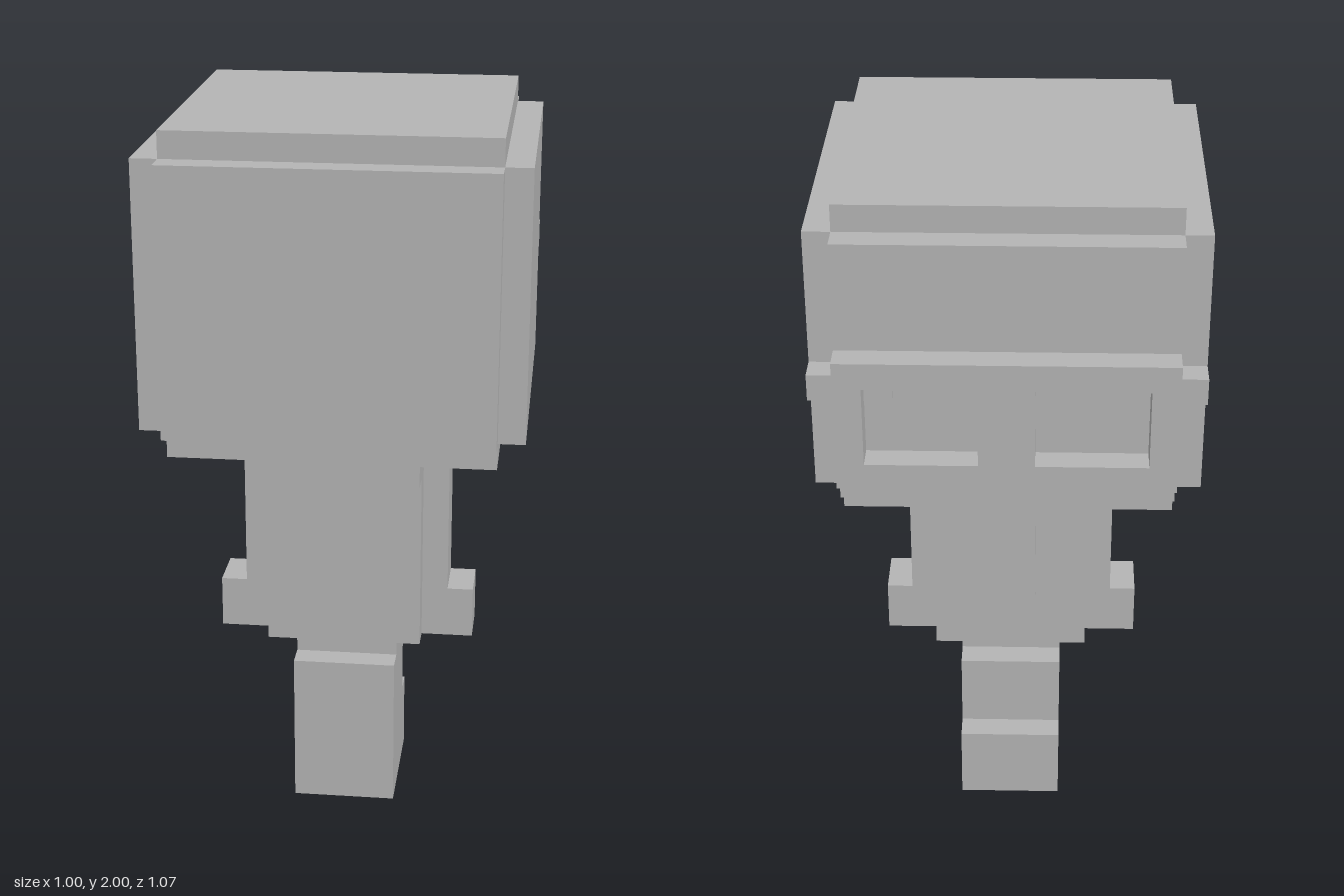
import * as THREE from 'three';

const U = 1 / 14; // edge of one cube of the block grid

export function createModel() {
  const model = new THREE.Group();
  const grey = new THREE.MeshStandardMaterial({ color: 0xb4b4b4 });
  grey.name = 'plain grey';

  // Box spanning two corners, given in grid cubes
  function block(name, [x0, x1], [y0, y1], [z0, z1], parent = model) {
    const mesh = new THREE.Mesh(new THREE.BoxGeometry((x1 - x0) * U, (y1 - y0) * U, (z1 - z0) * U), grey);
    mesh.position.set((x0 + x1) / 2 * U, (y0 + y1) / 2 * U, (z0 + z1) / 2 * U);
    mesh.name = name;
    parent.add(mesh);
    return mesh;
  }

  // Box and its mirror image across x = 0
  function pair(name, [x0, x1], y, z, parent = model) {
    block(name + 'Left', [x0, x1], y, z, parent);
    block(name + 'Right', [-x1, -x0], y, z, parent);
  }

  // Head: a core with a raised slab on each side
  const head = new THREE.Group();
  head.name = 'head';
  model.add(head);
  block('headCore', [-6, 6], [16, 28], [-5.5, 6.5], head);
  block('headFrontSlab', [-6, 6], [17, 27], [6.5, 7.5], head);
  block('headBackSlab', [-6, 6], [17, 27], [-6.5, -5.5], head);
  pair('headSideSlab', [6, 7], [17, 27], [-5.5, 6.5], head);

  // Glasses: plate with two square openings and a lower middle step
  const glasses = new THREE.Group();
  glasses.name = 'glasses';
  model.add(glasses);
  const toPoints = (list) => list.map(([x, y]) => new THREE.Vector2(x * U, y * U));
  const rim = new THREE.Shape(toPoints([
    [-6, 18], [-2, 18], [-2, 17], [2, 17], [2, 18], [6, 18], [6, 23], [-6, 23],
  ]));
  for (const x of [-5, 1]) {
    rim.holes.push(new THREE.Path(toPoints([[x, 19], [x, 22], [x + 4, 22], [x + 4, 19]])));
  }
  const plate = new THREE.Mesh(new THREE.ExtrudeGeometry(rim, { depth: U, bevelEnabled: false }), grey);
  plate.position.z = -7.5 * U;
  plate.name = 'glassesRim';
  glasses.add(plate);
  pair('glassesTemple', [6, 7], [21, 22], [-6.5, -5.5], glasses);
  block('lensGlint', [4, 5], [21, 22], [-6.6, -6.5], glasses);

  // Torso, collar and stepped tie
  block('torso', [-3, 3], [7, 16], [-1.5, 2.5]);
  block('collarFront', [-3, 3], [14, 16], [2.5, 3.5]);
  pair('collarBack', [1, 3], [14, 16], [-2.5, -1.5]);
  block('tieKnot', [-1, 1], [12, 15], [-2.5, -1.5]);
  block('tieTail', [-1, 0], [10, 12], [-2.5, -1.5]);

  // Arms and hands
  pair('arm', [3, 4], [7, 15], [-0.5, 1.5]);
  pair('hand', [4, 5], [7, 9], [-0.5, 1.5]);

  // Waist, legs and feet
  block('waist', [-2, 2], [6, 7], [-0.5, 1.5]);
  block('legs', [-2, 2], [0, 6], [-1.5, 2.5]);
  block('feet', [-2, 2], [0, 3], [-2.5, -1.5]);

  return model;
}
